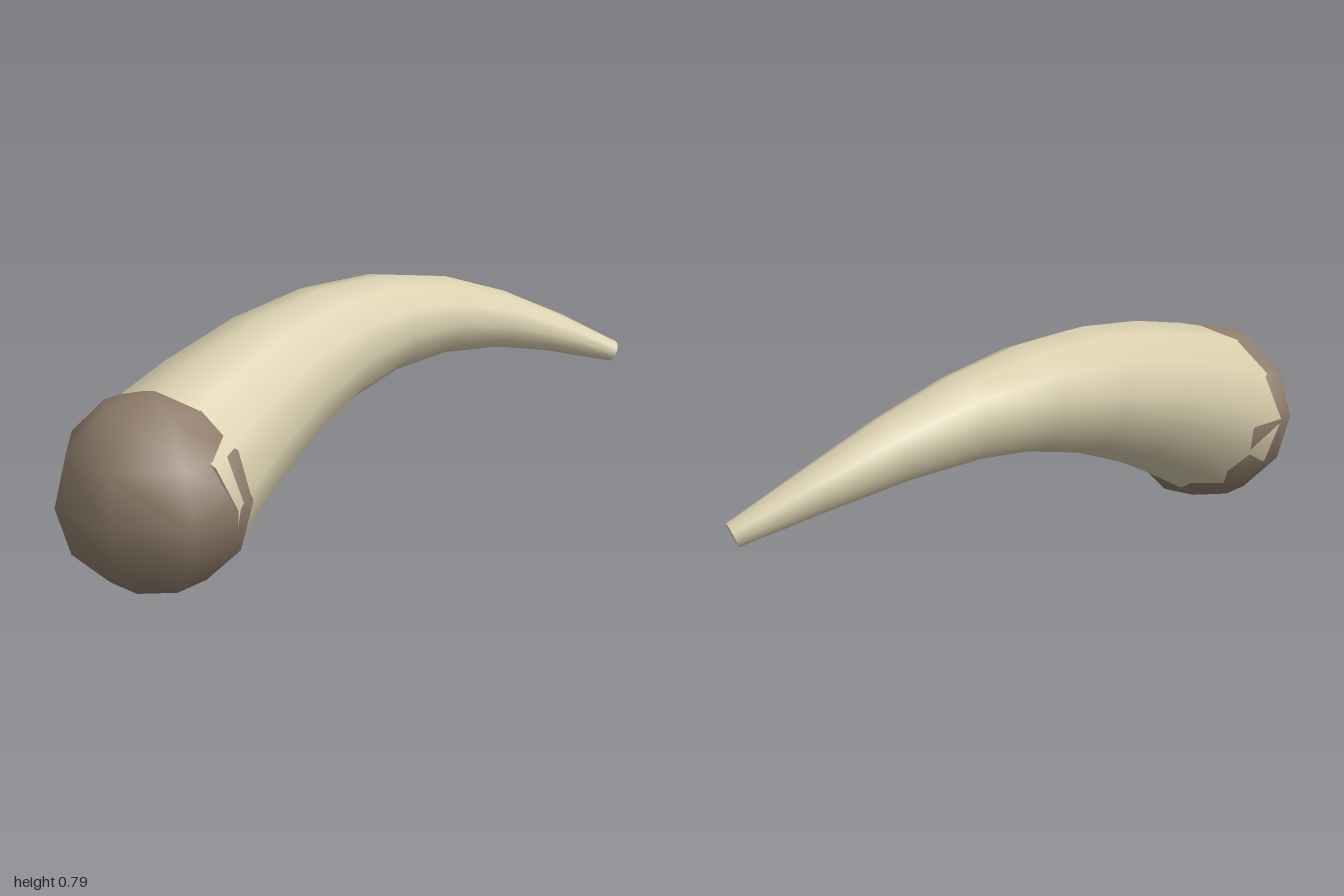
import * as THREE from 'three';

const SEGMENTS = 8, SIDES = 12;
const BASE_RADIUS = 0.31, TIP_RADIUS = 0.04;

// Centreline: rises and falls as a sine, bows sideways as a parabola
class HornCurve extends THREE.Curve {
  getPoint(t, target = new THREE.Vector3()) {
    const bow = 4 * t * (1 - t);
    return target.set(
      THREE.MathUtils.lerp(-0.70, 0.98, t) - 0.075 * bow,
      0.328 + 0.275 * Math.sin(Math.PI * t),
      THREE.MathUtils.lerp(0.51, -0.772, t) - 0.194 * bow
    );
  }
  // Rings are spaced evenly in t rather than by arc length
  getUtoTmapping(u) { return u; }
}

// Tube whose rings shrink linearly from base to tip
function taperedTube(curve) {
  const geo = new THREE.TubeGeometry(curve, SEGMENTS, 1, SIDES);
  const pos = geo.attributes.position, v = new THREE.Vector3();
  for (let i = 0; i < pos.count; i++) {
    const t = Math.floor(i / (SIDES + 1)) / SEGMENTS;
    const centre = curve.getPoint(t);
    v.fromBufferAttribute(pos, i).sub(centre)
      .multiplyScalar(THREE.MathUtils.lerp(BASE_RADIUS, TIP_RADIUS, t)).add(centre);
    pos.setXYZ(i, v.x, v.y, v.z);
  }
  return geo;
}

// Fan closing one end ring of the tube
function endCap(tube, ring, flip) {
  const pos = tube.attributes.position, points = [], index = [];
  for (let j = 0; j < SIDES; j++) {
    points.push(new THREE.Vector3().fromBufferAttribute(pos, ring * (SIDES + 1) + j));
    if (j > 1) index.push(0, flip ? j : j - 1, flip ? j - 1 : j);
  }
  const geo = new THREE.BufferGeometry().setFromPoints(points);
  geo.setIndex(index);
  geo.computeVertexNormals();
  return geo;
}

export function createModel() {
  const group = new THREE.Group();
  const hornMat = new THREE.MeshStandardMaterial({ color: 0xd9cfae });
  const capMat = new THREE.MeshStandardMaterial({ color: 0xd9cfae, side: THREE.DoubleSide });
  const rootMat = new THREE.MeshStandardMaterial({ color: 0x8f7d6b });
  const add = (name, geo, mat) => {
    const mesh = new THREE.Mesh(geo, mat);
    mesh.name = name;
    group.add(mesh);
    return mesh;
  };

  // Curved horn with both ends closed
  const tube = taperedTube(new HornCurve());
  add('horn', tube, hornMat);
  add('hornTip', endCap(tube, SEGMENTS, false), capMat);
  add('hornBase', endCap(tube, 0, true), capMat);

  // Rounded root at the thick end
  const root = add('root', new THREE.SphereGeometry(0.326, 8, 6), rootMat);
  root.position.set(-0.70, 0.328, 0.505);
  root.rotation.y = Math.PI / 8;

  return group;
}
